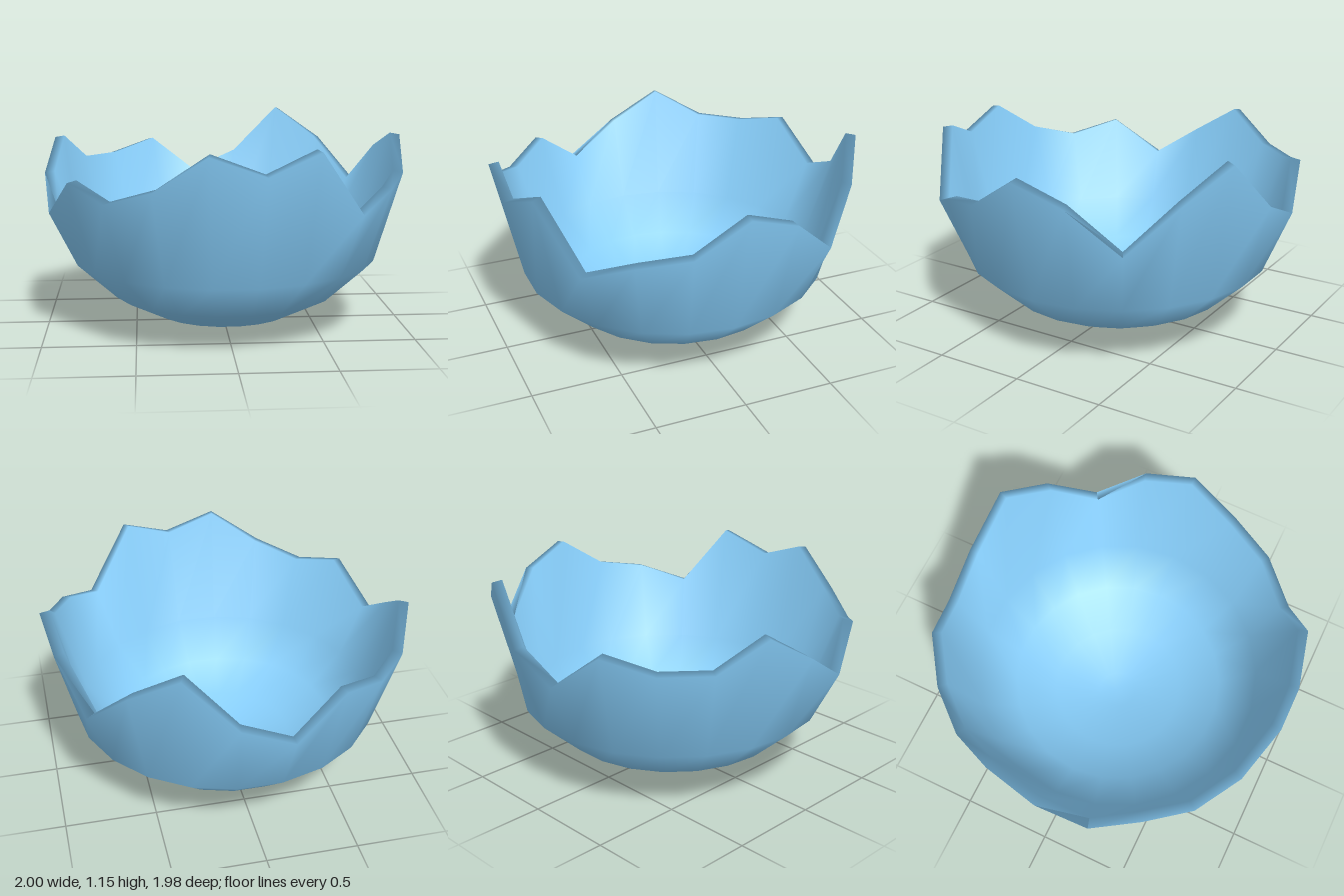
import * as THREE from 'three';

export function createModel() {
  const group = new THREE.Group();
  const N = 22;

  // Height of the broken rim at each segment, from +x round towards +z
  const rim = [1.06, 0.88, 0.83, 0.73, 1.07, 0.96, 1.06, 0.88, 0.80, 0.88, 0.68,
    0.86, 1.03, 0.88, 0.88, 0.95, 0.74, 0.86, 1.14, 0.97, 0.73, 0.96];

  // Profile [radius, height] up the outside, over the rim and down the inside
  const rows = [
    [0.12, 0.005], [0.39, 0.06], [0.63, 0.18], [0.85, 0.38],
    [1.0, null, 0], [0.945, null, 0.01],
    [0.805, 0.41], [0.605, 0.225], [0.375, 0.11], [0.11, 0.055],
  ];

  const pos = [], index = [];
  for (const [r, y, lift] of rows) {
    for (let k = 0; k < N; k++) {
      const a = (k / N) * Math.PI * 2;
      pos.push(r * Math.cos(a), y ?? rim[k] + lift, r * Math.sin(a));
    }
  }
  const bottom = pos.length / 3, floor = bottom + 1;
  pos.push(0, 0, 0, 0, 0.05, 0);

  const last = rows.length - 1;
  for (let k = 0; k < N; k++) {
    const n = (k + 1) % N;
    for (let i = 0; i < last; i++) {
      const a = i * N + k, b = i * N + n;
      index.push(a, a + N, b, b, a + N, b + N);
    }
    // Close the underside and the inner floor
    index.push(bottom, k, n, floor, last * N + n, last * N + k);
  }

  const geometry = new THREE.BufferGeometry();
  geometry.setAttribute('position', new THREE.Float32BufferAttribute(pos, 3));
  geometry.setIndex(index);
  geometry.computeVertexNormals();

  const shell = new THREE.Mesh(geometry, new THREE.MeshStandardMaterial({ color: 0x87cefa }));
  shell.name = 'brokenEggshell';
  group.add(shell);
  return group;
}
